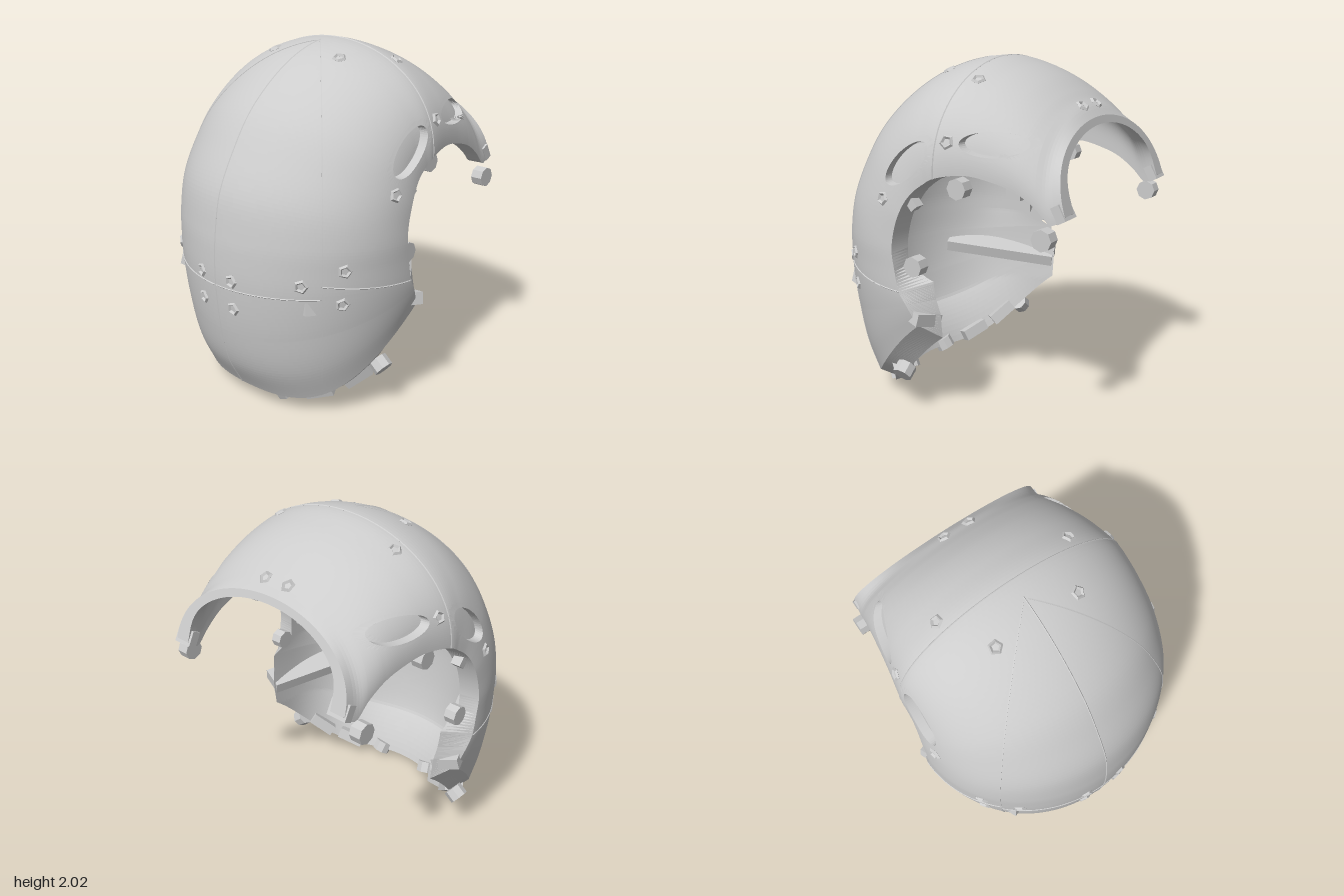
import * as THREE from 'three';

// Stations from lower front, over the crown, to the rear edge:
// [centre z, centre y, side-edge z, side-edge y, half width, rim offset z, rim offset y]
const STATIONS = [
  [0.65, 0.08, 0.0, 0.59, 0.745, -0.08, -0.09], [0.74, 0.25, 0.03, 0.65, 0.765, -0.11, 0],
  [0.79, 0.45, 0.06, 0.71, 0.778, -0.12, 0.02], [0.82, 0.74, 0.1, 0.78, 0.785, -0.15, 0.05],
  [0.82, 0.9, 0.125, 0.9, 0.785, -0.01, 0], [0.81, 1.03, 0.14, 1.0, 0.785, -0.02, 0],
  [0.77, 1.25, 0.13, 1.1, 0.78, -0.02, 0], [0.67, 1.46, 0.1, 1.2, 0.775, -0.02, 0],
  [0.53, 1.67, 0.06, 1.28, 0.765, -0.02, -0.01], [0.31, 1.86, 0.01, 1.34, 0.755, -0.01, -0.01],
  [0.1, 1.965, -0.05, 1.385, 0.75, 0, -0.01], [-0.11, 2.0, -0.11, 1.42, 0.745, 0, -0.01],
  [-0.28, 1.96, -0.28, 1.45, 0.71, 0, -0.01], [-0.42, 1.9, -0.42, 1.43, 0.685, 0, -0.01],
  [-0.53, 1.83, -0.55, 1.39, 0.665, 0, -0.01], [-0.59, 1.785, -0.66, 1.32, 0.65, 0, -0.01],
  [-0.64, 1.75, -0.75, 1.24, 0.64, 0, 0], [-0.69, 1.7, -0.82, 1.29, 0.63, 0, 0],
];
const LAST = STATIONS.length - 1;
// Side vents: centre z, y, half length, half width, tilt
const VENTS = [[0.07, 1.48, 0.17, 0.075, 2.44], [-0.41, 1.61, 0.17, 0.062, 0]];

const curve = (a, b, c) => new THREE.CatmullRomCurve3(
  STATIONS.map(s => new THREE.Vector3(s[a], s[b], c === undefined ? 0 : s[c])));
const centre = curve(0, 1, 4), edge = curve(2, 3);

// Point of the smooth outer skin; u is the station, v runs -1..1 across
function skin(u, v) {
  const t = THREE.MathUtils.clamp(u / LAST, 0, 1), p = centre.getPoint(t), e = edge.getPoint(t);
  const a = v * Math.PI / 2;
  // The crown is squarer than the face; the lower edge sags between centre and sides
  const k = 1 - 0.1 * THREE.MathUtils.smoothstep(u, 7, 10);
  const c = Math.max(Math.cos(a), 0) ** k;
  const sag = 0.09 * Math.max(0, 1 - u / 2) * Math.sin(2 * a) ** 2;
  return new THREE.Vector3(p.z * Math.sin(a), e.y + (p.y - e.y) * c - sag, e.x + (p.x - e.x) * c);
}

// Skin point with the given z and y, searched from a nearby u, v
function skinAt(z, y, u, v) {
  const h = 0.002;
  for (let i = 0; i < 5; i++) {
    const q = skin(u, v), du = skin(u + h, v).sub(q), dv = skin(u, v + h).sub(q);
    const det = du.z * dv.y - du.y * dv.z;
    u += h * ((z - q.z) * dv.y - (y - q.y) * dv.z) / det;
    v += h * (du.z * (y - q.y) - du.y * (z - q.z)) / det;
  }
  return skin(u, v);
}

// Outer skin with the vents sunk in; points near a vent's border snap to it
function outerPoint(u, v) {
  const q = skin(u, v);
  for (const [cz, cy, a, b, tilt] of VENTS) {
    const ct = Math.cos(tilt), st = Math.sin(tilt), dz = q.z - cz, dy = q.y - cy;
    const d = Math.hypot((dz * ct + dy * st) / a, (dy * ct - dz * st) / b);
    if (d >= 1.2) continue;
    if (d > 0.78) {
      const k = (d < 1 ? 0.97 : 1) / d;
      q.copy(skinAt(cz + dz * k, cy + dy * k, u, v));
    }
    if (d < 1) q.x -= Math.sign(q.x) * 0.05;
  }
  return q;
}

// Lining, drawn in from the skin, thicker and flared along the rim
function innerPoint(u, v) {
  const q = skin(u, v), e = edge.getPoint(u / LAST);
  const i = Math.min(Math.floor(u), LAST - 1), f = u - i, A = STATIONS[i], B = STATIONS[i + 1];
  const rim = Math.abs(Math.sin(v * Math.PI / 2)) ** 16, w = Math.max(rim, 1 - u, 0);
  return new THREE.Vector3(q.x * (0.9 - 0.05 * rim),
    e.y + (q.y - e.y) * 0.9 + w * (A[6] + (B[6] - A[6]) * f),
    e.x + (q.z - e.x) * 0.9 + w * (A[5] + (B[5] - A[5]) * f));
}

// Station values giving rows of equal spacing along the shell
function evenRows(step) {
  const us = [0];
  let last = skin(0, 0.6);
  for (let u = 0; u < LAST - 0.05; u += 0.01) {
    const q = skin(u, 0.6);
    if (q.distanceTo(last) >= step) {
      us.push(u);
      last = q;
    }
  }
  us.push(LAST);
  return us;
}

function shellGeometry(cols) {
  const pos = [], idx = [], n = 2 * (cols + 1), us = evenRows(0.018), rows = us.length - 1;
  for (const u of us) {
    for (let j = 0; j <= cols; j++) pos.push(...outerPoint(u, j / cols * 2 - 1).toArray());
    for (let j = cols; j >= 0; j--) pos.push(...innerPoint(u, j / cols * 2 - 1).toArray());
  }
  for (let i = 0; i < rows; i++) for (let j = 0; j < n; j++) {
    const a = i * n + j, b = i * n + (j + 1) % n;
    idx.push(a, b, b + n, a, b + n, a + n);
  }
  // Rim strips at the lower front and rear edges
  for (let j = 0; j < cols; j++) {
    const o = j, p = j + 1, a = n - 1 - j, b = n - 2 - j, k = rows * n;
    idx.push(o, a, b, o, b, p);
    idx.push(k + o, k + b, k + a, k + o, k + p, k + b);
  }
  const g = new THREE.BufferGeometry();
  g.setAttribute('position', new THREE.Float32BufferAttribute(pos, 3));
  g.setIndex(idx);
  const flat = g.toNonIndexed();
  flat.computeVertexNormals();
  return flat;
}

// Nearest skin point and its normal
function onSkin(x, y, z) {
  const target = new THREE.Vector3(x, y, z);
  let best = 1e9, bu = 0, bv = 0;
  for (let u = 0; u <= LAST; u += 0.1) for (let v = -1; v <= 1; v += 0.02) {
    const d = skin(u, v).distanceToSquared(target);
    if (d < best) [best, bu, bv] = [d, u, v];
  }
  const dv = skin(bu, bv + 0.01).sub(skin(bu, bv - 0.01));
  const du = skin(bu + 0.05, bv).sub(skin(bu - 0.05, bv));
  return { point: skin(bu, bv), normal: dv.cross(du).normalize() };
}

export function createModel() {
  const root = new THREE.Group();
  root.name = 'helmetShell';
  const grey = new THREE.MeshStandardMaterial({ color: 0xcccccc, flatShading: true });
  grey.name = 'shell grey';

  const add = (name, geo, x = 0, y = 0, z = 0, rot = [0, 0, 0]) => {
    const m = new THREE.Mesh(geo, grey);
    m.name = name;
    m.position.set(x, y, z);
    m.rotation.set(...rot);
    root.add(m);
    return m;
  };
  const pair = (name, geo, x, y, z, [a, b, c] = [0, 0, 0]) => {
    add(name + 'Left', geo, x, y, z, [a, b, c]);
    add(name + 'Right', geo, -x, y, z, [a, -b, -c]);
  };

  add('shell', shellGeometry(180));

  // Fine panel seams
  const seam = (name, pts) => add(name,
    new THREE.TubeGeometry(new THREE.CatmullRomCurve3(pts), 80, 0.004, 4));
  const line = (n, f) => Array.from({ length: n + 1 }, (_, i) => f(i / n));
  seam('centreSeam', line(40, t => skin(t * 10.5, 0)));
  seam('crownSeam', line(40, t => skin(11, t * 2 - 1)));
  for (const s of [-1, 1]) {
    // Front panel border lies where x equals z
    seam('frontPanelSeam', line(40, t => {
      const u = t * 10.4;
      let lo = 0, hi = 1;
      for (let k = 0; k < 24; k++) {
        const mid = (lo + hi) / 2, q = skin(u, mid);
        if (q.x < q.z) lo = mid; else hi = mid;
      }
      return skin(u, s * lo);
    }));
    seam('frontBandSeam', line(20, t => skin(3, s * t * 0.53)));
    seam('sideBandSeam', line(20, t => skin(3.5 - 0.5 * t, s * (0.53 + 0.47 * t))));
  }

  // Five-sided fastener sockets set on the skin
  const ring = new THREE.TorusGeometry(0.031, 0.011, 4, 5);
  const sockets = [
    [0.13, 0.79, 0.8], [0.13, 0.64, 0.8], [0.5, 0.83, 0.65], [0.66, 0.91, 0.5], [0.64, 0.73, 0.5],
    [0.74, 1.28, 0.21], [0.68, 1.61, -0.17], [0.4, 1.9, -0.17], [0.25, 1.93, 0.12], [0.08, 1.76, -0.63],
  ];
  for (const [x, y, z] of sockets) for (const s of [-1, 1]) {
    const { point, normal } = onSkin(s * x, y, z);
    add('socketRing', ring, ...point.toArray())
      .quaternion.setFromUnitVectors(new THREE.Vector3(0, 0, 1), normal);
  }

  // Eight-sided lugs along the opening
  const lug = new THREE.CylinderGeometry(0.058, 0.058, 0.07, 8);
  const side = [0, 0, Math.PI / 2];
  pair('hornLug', lug, 0.655, 1.17, -0.72, side);
  pair('templeLug', lug, 0.63, 1.36, -0.2, side);
  pair('earLug', lug, 0.69, 0.91, 0.05, side);
  pair('jawLug', lug, 0.65, 0.25, 0.18, [0, 0, 0.9]);
  pair('chinLug', lug, 0.19, 0.045, 0.5, [0.5, 0, 0.15]);

  // Blocks on the lower rim and horn tips
  const block = new THREE.BoxGeometry(0.17, 0.07, 0.11);
  pair('lowerBlock', block, 0.39, 0.095, 0.4, [0.3, 0.5, 0.2]);
  pair('sideBlock', block, 0.55, 0.2, 0.27, [0.3, 0.8, 0.45]);
  pair('hornTip', new THREE.BoxGeometry(0.12, 0.09, 0.05), 0.58, 1.3, -0.785, [0.5, 0, 0]);

  // Inner fittings
  pair('cheekPad', new THREE.BoxGeometry(0.16, 0.07, 0.72), 0.58, 0.65, 0.29, [-0.1, -0.36, 0.2]);
  pair('earBracket', new THREE.BoxGeometry(0.09, 0.13, 0.11), 0.66, 1.05, 0.22);
  pair('rimTab', new THREE.BoxGeometry(0.06, 0.11, 0.05), 0.7, 1.28, 0.06, [0.7, 0, 0]);
  pair('templeBracket', new THREE.BoxGeometry(0.08, 0.13, 0.38), 0.63, 1.5, 0.03, [0.7, 0, 0.15]);
  pair('crownBlock', new THREE.BoxGeometry(0.26, 0.12, 0.18), 0.3, 1.76, 0.12, [0.15, 0, -0.2]);
  pair('foreheadBlock', new THREE.BoxGeometry(0.17, 0.11, 0.09), 0.2, 1.47, 0.57, [-0.5, 0.25, 0]);
  return root;
}
